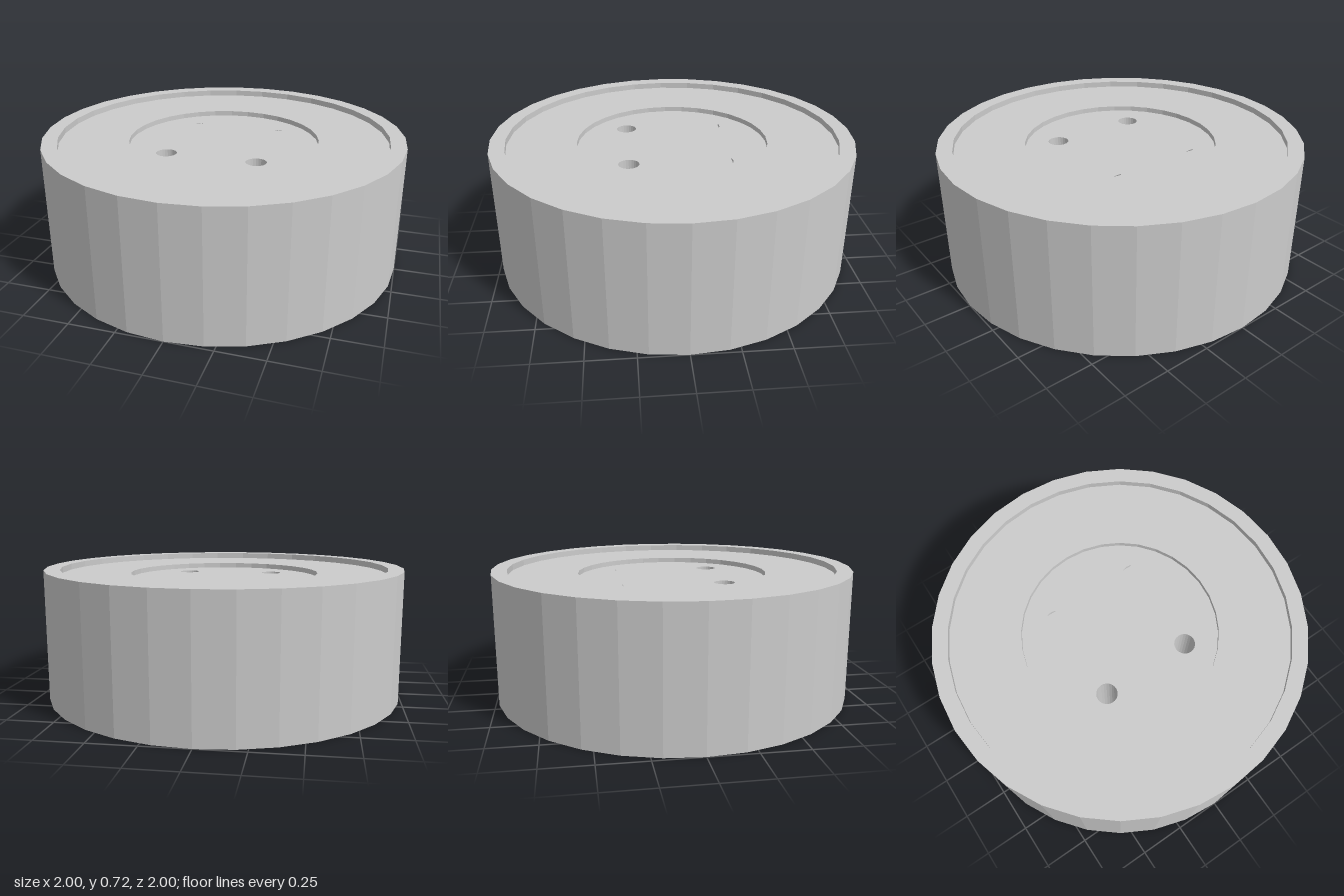
import * as THREE from 'three';

const SIDES = 32, HEIGHT = 0.717, LEDGE = 0.683, FLOOR = 0.655;
const WELL_R = 0.53, HOLE_R = 0.056, HOLE = 0.25;

// Points along an arc in plan, where the second coordinate is z
function arc(cx, cz, r, from, to, steps) {
  return Array.from({ length: steps + 1 }, (_, i) => {
    const a = THREE.MathUtils.degToRad(from + (to - from) * i / steps);
    return new THREE.Vector2(cx + r * Math.cos(a), cz + r * Math.sin(a));
  });
}

// Flat 32-sided disc with cut-outs, facing up or down
function disc(radius, y, up, cutouts) {
  const flip = p => new THREE.Vector2(p.x, up ? -p.y : p.y);
  const shape = new THREE.Shape(arc(0, 0, radius, 0, 360, SIDES).slice(0, -1).map(flip));
  shape.holes = cutouts.map(points => new THREE.Path(points.map(flip)));
  return new THREE.ShapeGeometry(shape).rotateX(up ? -Math.PI / 2 : Math.PI / 2).translate(0, y, 0);
}

export function createModel() {
  const group = new THREE.Group();
  const add = (name, geometry, side) => {
    const material = new THREE.MeshStandardMaterial({ color: 0xcccccc, flatShading: true, side });
    const mesh = new THREE.Mesh(geometry, material);
    mesh.name = name;
    group.add(mesh);
  };

  // Outer wall, raised rim, ledge and well wall
  const profile = [[1, 0], [1, HEIGHT], [0.915, HEIGHT], [0.915, LEDGE], [WELL_R, LEDGE], [WELL_R, FLOOR]];
  add('body', new THREE.LatheGeometry(profile.map(p => new THREE.Vector2(...p)), SIDES), THREE.FrontSide);

  // Well floor: two round holes in front, two thin slits behind
  const openings = [-HOLE, HOLE].flatMap(x => [
    arc(x, HOLE, HOLE_R, 0, 360, 24).slice(0, -1),
    arc(x, -HOLE, HOLE_R, 239, 301, 6),
  ]);
  add('wellFloor', disc(WELL_R, FLOOR, true, openings), THREE.DoubleSide);

  // Underside: the front holes come through, partly covered
  const leftOver = [...arc(-HOLE, HOLE, HOLE_R, -10, 180, 14), new THREE.Vector2(-HOLE + 0.005, HOLE - 0.048)];
  add('underside', disc(1, 0, false, [leftOver, arc(HOLE, HOLE, HOLE_R, 0, 237, 16)]), THREE.DoubleSide);

  // Bores between the well floor and the underside
  for (const x of [-HOLE, HOLE]) for (const z of [-HOLE, HOLE]) {
    const bore = new THREE.CylinderGeometry(HOLE_R, HOLE_R, FLOOR, 24, 1, true).translate(x, FLOOR / 2, z);
    add('bore', bore, THREE.BackSide);
  }
  return group;
}
